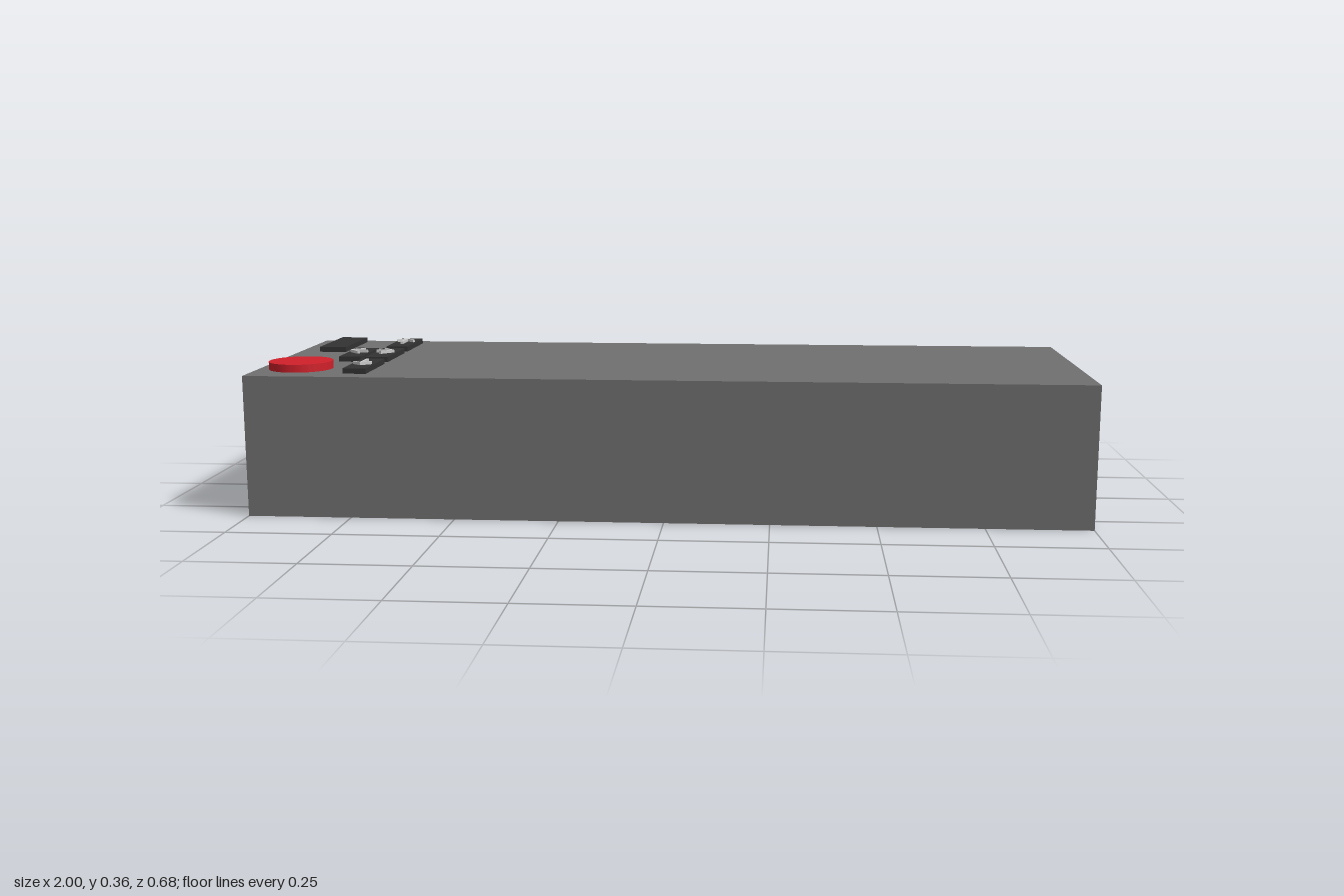
import * as THREE from 'three';

const mat = (color) => new THREE.MeshStandardMaterial({ color });

export function createModel() {
  const group = new THREE.Group();
  const bodyMat = mat(0x707070), keyMat = mat(0x333333), redMat = mat(0xd0202a), arrowMat = mat(0xcccccc);
  const top = 0.34, keyHeight = 0.013, arrowTop = 0.36;

  function add(name, geometry, material, x, y, z) {
    const mesh = new THREE.Mesh(geometry, material);
    mesh.name = name;
    mesh.position.set(x, y, z);
    group.add(mesh);
    return mesh;
  }

  // Housing
  add('body', new THREE.BoxGeometry(2, top, 0.68), bodyMat, 0, top / 2, 0);

  // Round push button
  add('redButton', new THREE.CylinderGeometry(0.077, 0.077, 0.019, 48), redMat, -0.9, top + 0.0095, 0.203);

  // Keys sit on the top face
  const addKey = (name, x, z, width, depth) =>
    add(name, new THREE.BoxGeometry(width, keyHeight, depth), keyMat, x, top + keyHeight / 2, z);
  addKey('wideKey', -0.912, -0.205, 0.07, 0.21);

  // Raised arrow: a thin shaft with an open chevron head, pointing along +y of the shape
  function arrowGeometry(length, width) {
    const l = length / 2, w = width / 2, t = 0.003;
    const shape = new THREE.Shape([
      [-t, -l], [t, -l], [t, l - 3 * t], [w - t, l - w - t], [w, l - w + t],
      [0, l], [-w, l - w + t], [-w + t, l - w - t], [-t, l - 3 * t],
    ].map(([x, y]) => new THREE.Vector2(x, y)));
    const geometry = new THREE.ExtrudeGeometry(shape, { depth: arrowTop - top - keyHeight, bevelEnabled: false });
    return geometry.rotateX(-Math.PI / 2);
  }

  // Four direction keys with their arrows: name, x, z, turn, arrow length, arrow width
  const keys = [
    ['back', -0.745, -0.206, 0, 0.067, 0.048],
    ['front', -0.745, 0.199, Math.PI, 0.067, 0.048],
    ['left', -0.745, -0.004, -Math.PI / 2, 0.046, 0.06],
    ['right', -0.814, -0.004, Math.PI / 2, 0.046, 0.06],
  ];
  for (const [name, x, z, turn, length, width] of keys) {
    addKey(name + 'Key', x, z, 0.056, 0.173);
    add(name + 'Arrow', arrowGeometry(length, width), arrowMat, x, top + keyHeight, z).rotation.y = turn;
  }

  return group;
}
